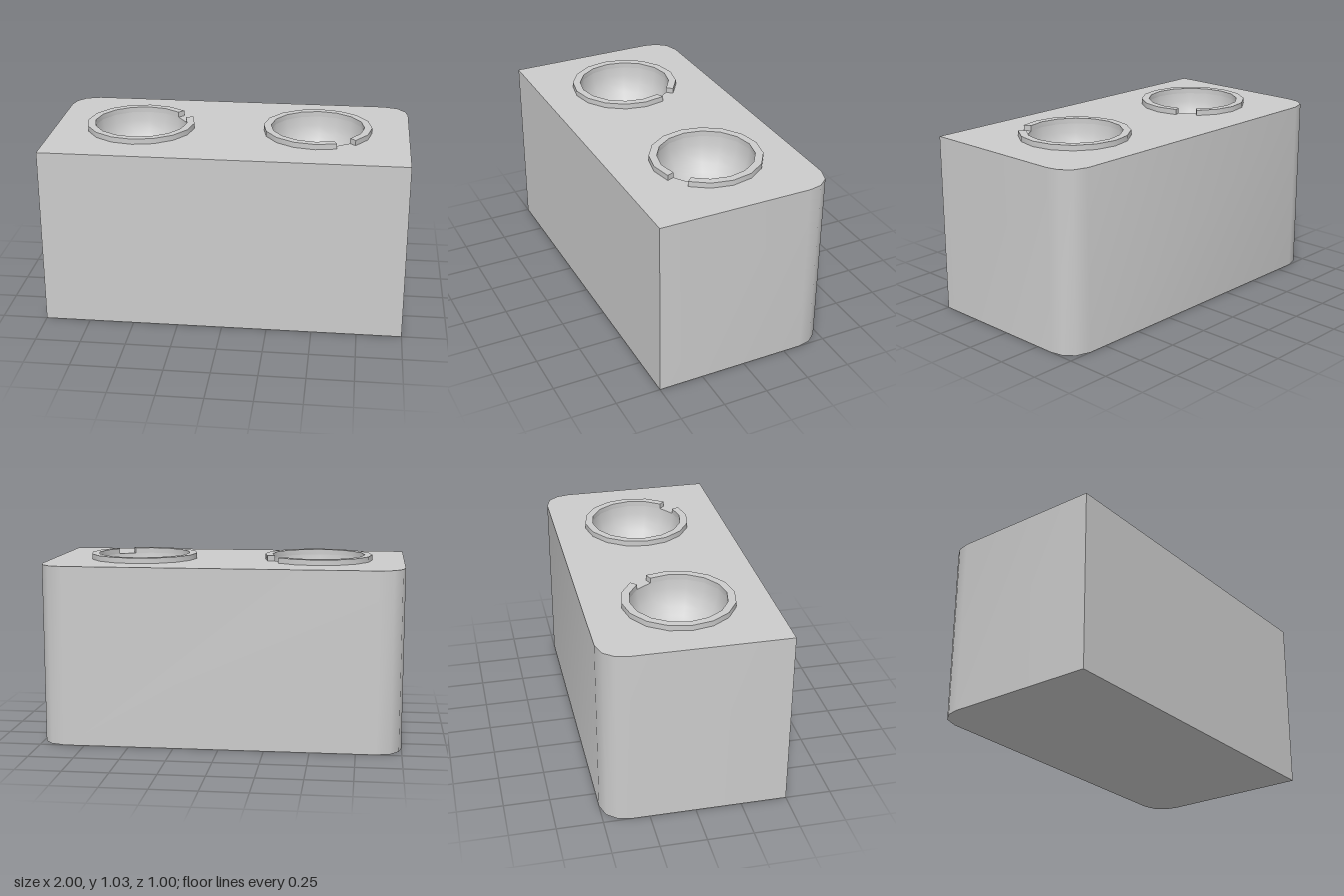
import * as THREE from 'three';
import { mergeGeometries, toCreasedNormals } from 'three/addons/utils/BufferGeometryUtils.js';

const HEIGHT = 1, RIM_HEIGHT = 0.03, SIDES = 16;
const STEP = (Math.PI * 2) / SIDES;
const OUTER = 0.305, INNER = 0.262, BOWL_DEPTH = 0.26;

// Each well: centre on the top face and the angle where its open rim starts
const wells = [
  { name: 'right', x: -0.515, z: 0.008, start: Math.PI / 4 },
  { name: 'left', x: 0.487, z: -0.017, start: -Math.PI / 4 },
];

const material = new THREE.MeshStandardMaterial({ color: 0xcccccc, side: THREE.DoubleSide });

// Points on an arc of whole steps; plan coordinates are (x, -z)
function arc(radius, start, steps, cx = 0, cy = 0) {
  return Array.from({ length: steps + 1 }, (_, i) => new THREE.Vector2(
    cx + radius * Math.cos(start + i * STEP),
    cy + radius * Math.sin(start + i * STEP)));
}

// Block plan: square front corners, rounded back corners
function outline() {
  const half = [[1, -0.5], [1, 0.35], [0.985, 0.42], [0.94, 0.475], [0.86, 0.5]];
  const right = half.map(([x, y]) => new THREE.Vector2(x, y));
  const left = half.map(([x, y]) => new THREE.Vector2(-x, y)).reverse();
  return [...right, ...left];
}

function blockGeometry() {
  const points = outline();
  const top = new THREE.Shape(points);
  for (const w of wells) {
    top.holes.push(new THREE.Path(arc(INNER, 0, SIDES - 1, w.x, -w.z).reverse()));
  }
  const topFace = new THREE.ShapeGeometry(top).rotateX(-Math.PI / 2).translate(0, HEIGHT, 0);
  const bottomFace = new THREE.ShapeGeometry(
    new THREE.Shape(points.map((p) => new THREE.Vector2(p.x, -p.y)))).rotateX(Math.PI / 2);

  // Side walls, one quad per outline edge
  const position = [];
  points.forEach((a, i) => {
    const b = points[(i + 1) % points.length];
    position.push(
      a.x, 0, -a.y, b.x, 0, -b.y, b.x, HEIGHT, -b.y,
      a.x, 0, -a.y, b.x, HEIGHT, -b.y, a.x, HEIGHT, -a.y);
  });
  const walls = new THREE.BufferGeometry();
  walls.setAttribute('position', new THREE.Float32BufferAttribute(position, 3));

  const parts = [topFace, bottomFace, walls].map((g) => {
    const flat = g.index ? g.toNonIndexed() : g;
    flat.deleteAttribute('uv');
    flat.deleteAttribute('normal');
    return flat;
  });
  return toCreasedNormals(mergeGeometries(parts), 0.7);
}

// Round bowl sunk below the top face
function bowlGeometry() {
  const profile = Array.from({ length: 9 }, (_, i) => {
    const t = (i / 8) * Math.PI / 2;
    return new THREE.Vector2(INNER * Math.cos(t), -BOWL_DEPTH * Math.sin(t));
  });
  return new THREE.LatheGeometry(profile, SIDES);
}

// Raised ring with one segment left open
function rimGeometry(start) {
  const ring = new THREE.Shape([
    ...arc(OUTER, start, SIDES - 1),
    ...arc(INNER, start, SIDES - 1).reverse(),
  ]);
  const geometry = new THREE.ExtrudeGeometry(ring, { depth: RIM_HEIGHT, bevelEnabled: false });
  return toCreasedNormals(geometry.rotateX(-Math.PI / 2), 0.7);
}

export function createModel() {
  const model = new THREE.Group();
  const add = (name, geometry, x = 0, y = 0, z = 0) => {
    const mesh = new THREE.Mesh(geometry, material);
    mesh.name = name;
    mesh.position.set(x, y, z);
    model.add(mesh);
  };

  add('block', blockGeometry());
  for (const w of wells) {
    add(`${w.name}Bowl`, bowlGeometry(), w.x, HEIGHT, w.z);
    add(`${w.name}Rim`, rimGeometry(w.start), w.x, HEIGHT, w.z);
  }
  return model;
}
